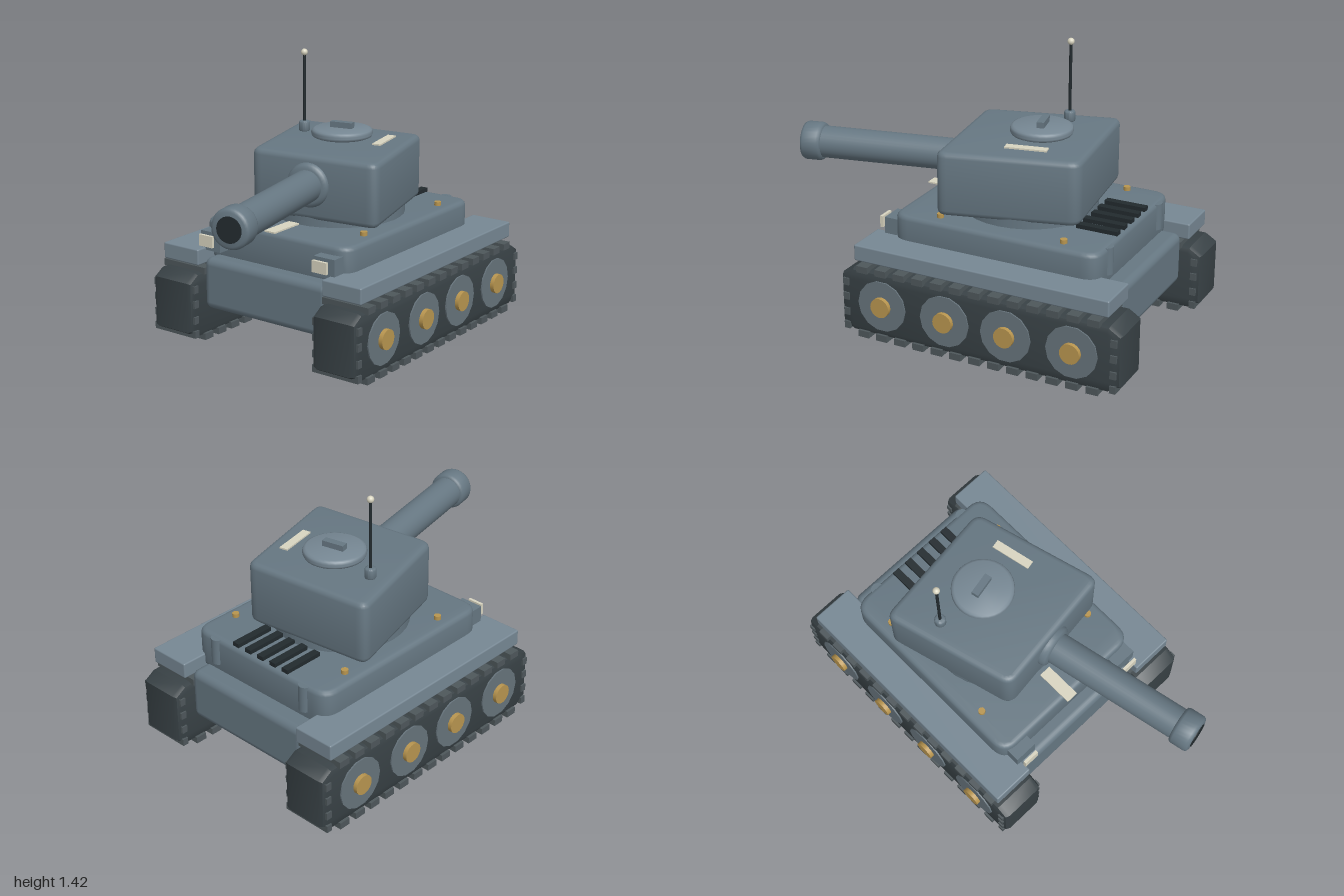
import * as THREE from 'three';
import { toCreasedNormals } from 'three/addons/utils/BufferGeometryUtils.js';
import { RoundedBoxGeometry } from 'three/addons/geometries/RoundedBoxGeometry.js';

const mat = (color) => new THREE.MeshStandardMaterial({ color });
const M = {
  hull: mat(0x667782), fender: mat(0x768793), track: mat(0x384145), pad: mat(0x4e575b),
  wheel: mat(0x66737b), brass: mat(0xb8954f), cream: mat(0xd8d4c0), dark: mat(0x222a2e),
};

function add(parent, name, geometry, material, x = 0, y = 0, z = 0) {
  const mesh = new THREE.Mesh(geometry, material);
  mesh.name = name;
  mesh.position.set(x, y, z);
  parent.add(mesh);
  return mesh;
}
const box = (w, h, d) => new THREE.BoxGeometry(w, h, d);
const cyl = (r, h, n = 24) => new THREE.CylinderGeometry(r, r, h, n);

// Polygon with softened corners
function softPolygon(points, r) {
  const s = new THREE.Shape();
  const p = points.map(([x, y]) => new THREE.Vector2(x, y));
  p.forEach((c, i) => {
    const prev = p[(i + p.length - 1) % p.length], next = p[(i + 1) % p.length];
    const a = prev.clone().sub(c).setLength(r).add(c);
    const b = next.clone().sub(c).setLength(r).add(c);
    if (i) s.lineTo(a.x, a.y); else s.moveTo(a.x, a.y);
    s.quadraticCurveTo(c.x, c.y, b.x, b.y);
  });
  s.closePath();
  return s;
}

// Bevelled extrusion of total depth h, starting at z = 0
function bevelled(shape, h, bevel, segments = 3) {
  const g = new THREE.ExtrudeGeometry(shape, {
    depth: h - 2 * bevel, bevelSize: bevel, bevelThickness: bevel,
    bevelOffset: -bevel, bevelSegments: segments, curveSegments: 6,
  });
  g.translate(0, 0, bevel);
  return g;
}

// Slab standing on its (x, z) plan
function slab(plan, h, r, bevel) {
  const shape = softPolygon(plan.map(([x, z]) => [x, -z]), r);
  return toCreasedNormals(bevelled(shape, h, bevel).rotateX(-Math.PI / 2), 0.6);
}

// Round disc with softened rims, centred on its axis
function softDisc(r, h, b) {
  const pts = [[0, -h / 2], [r - b, -h / 2], [r - b * 0.3, -h / 2 + b * 0.3], [r, -h / 2 + b],
    [r, h / 2 - b], [r - b * 0.3, h / 2 - b * 0.3], [r - b, h / 2], [0, h / 2]];
  return toCreasedNormals(new THREE.LatheGeometry(pts.map(([x, y]) => new THREE.Vector2(x, y)), 32), 0.9);
}

function createTrack(side) {
  const g = new THREE.Group();
  g.name = side > 0 ? 'leftTrack' : 'rightTrack';
  const x = side * 0.508, zMid = -0.235, a = 0.765, c = 0.065;

  // Belt with chamfered ends
  const s = new THREE.Shape([[-a + c, 0.02], [a - c, 0.02], [a, 0.06], [a, 0.325],
    [a - c, 0.365], [-a + c, 0.365], [-a, 0.325], [-a, 0.06]].map(([u, v]) => new THREE.Vector2(u, v)));
  const belt = bevelled(s, 0.255, 0.03, 2).translate(0, 0, -0.1275).rotateY(Math.PI / 2);
  add(g, 'trackBelt', toCreasedNormals(belt, 0.5), M.track, x, 0, zMid);

  // Tread pads along the top, bottom and ends
  for (let i = 0; i < 13; i++) {
    const z = 0.4 - i * 0.105;
    for (const y of [0.0175, 0.3725]) add(g, 'trackPad', box(0.272, 0.035, 0.062), M.pad, x, y, z);
  }
  for (const z of [0.495, -0.965])
    for (const y of [0.05, 0.125, 0.21, 0.29]) add(g, 'endPad', box(0.272, 0.038, 0.032), M.pad, x, y, z);

  // Road wheels and hubs
  for (const z of [0.29, -0.065, -0.4, -0.75]) {
    add(g, 'roadWheel', cyl(0.135, 0.05, 14), M.wheel, side * 0.618, 0.195, z).rotation.z = Math.PI / 2;
    add(g, 'wheelHub', cyl(0.052, 0.05, 20), M.brass, side * 0.64, 0.195, z).rotation.z = Math.PI / 2;
  }
  add(g, 'fender', new RoundedBoxGeometry(0.23, 0.085, 1.385, 2, 0.008), M.fender, side * 0.505, 0.447, zMid);
  return g;
}

function createHull() {
  const g = new THREE.Group();
  g.name = 'hull';
  add(g, 'lowerHull', new RoundedBoxGeometry(0.78, 0.275, 1.31, 3, 0.04), M.hull, 0, 0.305, -0.235);
  const w = 0.455, rear = -0.79, front = 0.335;
  add(g, 'upperHull', slab([[-w, rear], [w, rear], [w, front], [-w, front]], 0.2, 0.09, 0.025), M.hull, 0, 0.42, 0);
  add(g, 'turretRing', cyl(0.35, 0.07, 32), M.hull, 0, 0.645, -0.21);
  add(g, 'frontMarking', box(0.065, 0.008, 0.2), M.cream, 0, 0.633, 0.265);

  // Engine vents
  for (let i = -2; i <= 2; i++) add(g, 'engineVent', box(0.04, 0.022, 0.22), M.dark, i * 0.085, 0.63, -0.665);

  // Mirrored fittings
  for (const side of [-1, 1]) {
    for (const z of [-0.58, 0.095]) add(g, 'deckBolt', cyl(0.018, 0.025, 14), M.brass, side * 0.38, 0.628, z);
    add(g, 'headlightHousing', box(0.125, 0.1, 0.075), M.hull, side * 0.357, 0.526, 0.358);
    add(g, 'headlightLens', box(0.086, 0.06, 0.016), M.cream, side * 0.357, 0.537, 0.428);
    add(g, 'exhaustPipe', cyl(0.035, 0.14, 18), M.hull, side * 0.305, 0.545, -0.772);
  }
  return g;
}

function createTurret() {
  const g = new THREE.Group();
  g.name = 'turret';
  const turn = 0.21;

  // Skewed turret body
  const plan = [[-0.453, -0.512], [0.262, -0.602], [0.45, 0.09], [-0.262, 0.182]];
  add(g, 'turretBody', slab(plan, 0.33, 0.06, 0.028), M.hull, 0, 0.655, 0);

  // Gun, laid along its own +z
  const gun = new THREE.Group();
  gun.name = 'gun';
  gun.position.set(0.07, 0.837, 0.13);
  gun.rotation.y = turn;
  const along = (name, geo, material, z) => { add(gun, name, geo, material, 0, 0, z).rotation.x = Math.PI / 2; };
  along('mantlet', softDisc(0.115, 0.09, 0.025), M.hull, -0.005);
  along('barrel', cyl(0.083, 0.78, 32), M.hull, 0.4);
  along('muzzle', softDisc(0.1, 0.11, 0.018), M.hull, 0.807);
  along('bore', cyl(0.064, 0.02, 28), M.dark, 0.856);
  g.add(gun);

  // Hatch
  add(g, 'hatch', softDisc(0.16, 0.045, 0.018), M.fender, -0.015, 1.02, -0.265);
  add(g, 'hatchHandle', box(0.12, 0.035, 0.038), M.hull, -0.018, 1.055, -0.27).rotation.y = turn;
  add(g, 'roofMarking', box(0.045, 0.008, 0.212), M.cream, 0.225, 1.003, -0.3).rotation.y = turn;

  // Antenna
  const ax = -0.28, az = -0.293;
  add(g, 'antennaBase', softDisc(0.029, 0.06, 0.01), M.hull, ax, 1.01, az);
  add(g, 'antennaRod', cyl(0.008, 0.38, 10), M.dark, ax, 1.21, az);
  add(g, 'antennaTip', new THREE.SphereGeometry(0.018, 16, 12), M.cream, ax, 1.405, az);
  return g;
}

export function createModel() {
  const model = new THREE.Group();
  model.name = 'tank';
  model.add(createHull(), createTurret(), createTrack(1), createTrack(-1));
  return model;
}
